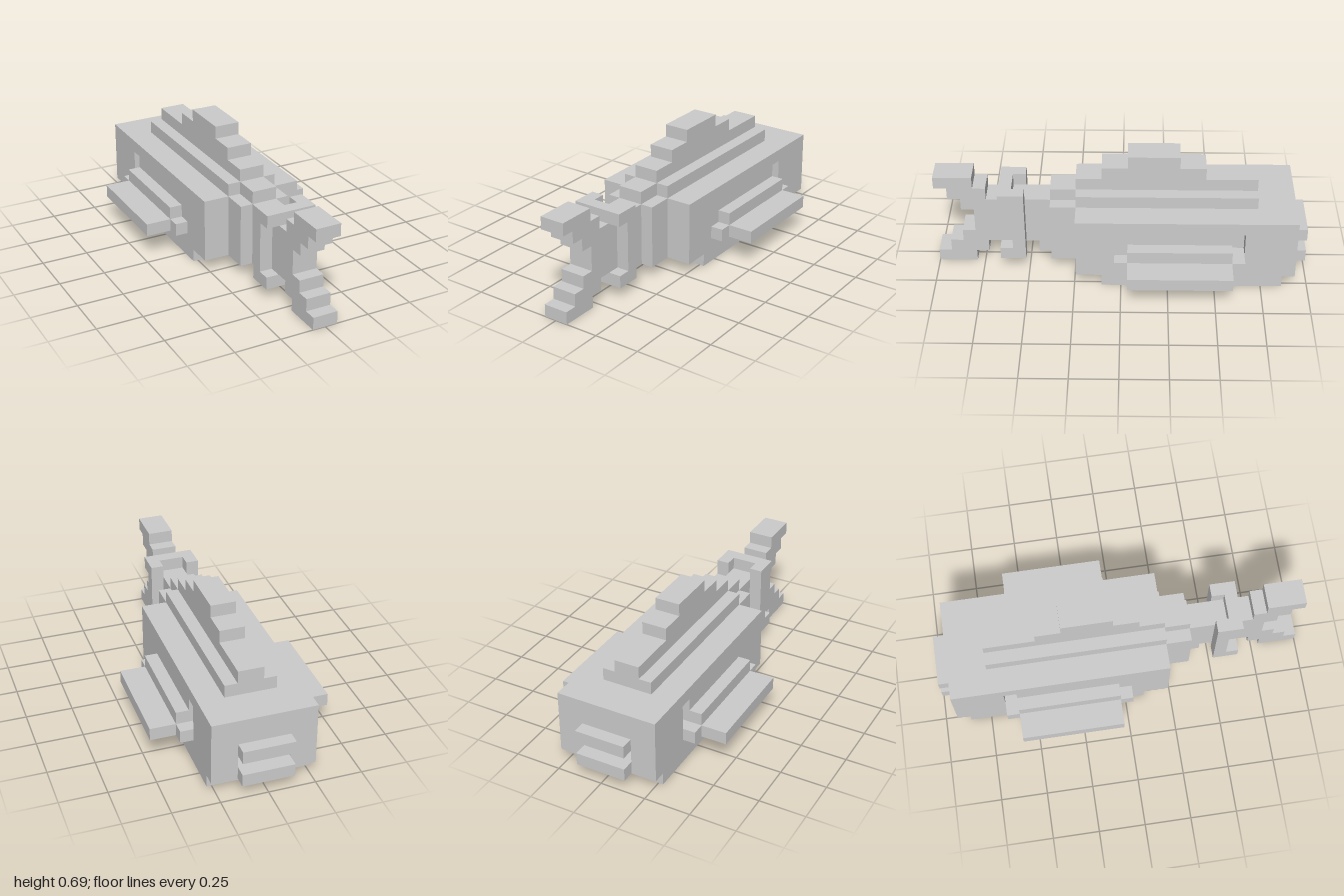
import * as THREE from 'three';

const U = 2 / 29; // one block; z is counted in blocks from the snout (0) to the tail tip (29)
const MID = 14.5;

export function createModel() {
  const model = new THREE.Group();
  const material = new THREE.MeshStandardMaterial({ color: 0xcccccc, flatShading: true });

  const part = (name) => {
    const group = new THREE.Group();
    group.name = name;
    model.add(group);
    return group;
  };

  const add = (group, geometry) => {
    geometry.scale(U, U, U);
    const mesh = new THREE.Mesh(geometry, material);
    mesh.name = group.name;
    group.add(mesh);
  };

  // Box between block coordinates
  const box = (group, x0, x1, y0, y1, z0, z1) => {
    const g = new THREE.BoxGeometry(x1 - x0, y1 - y0, z1 - z0);
    g.translate((x0 + x1) / 2, (y0 + y1) / 2, (z0 + z1) / 2 - MID);
    add(group, g);
  };

  // Box centred on x = 0
  const centred = (group, half, ...yz) => box(group, -half, half, ...yz);

  // The same box on both sides
  const pair = (group, x0, x1, ...yz) => {
    box(group, x0, x1, ...yz);
    box(group, -x1, -x0, ...yz);
  };

  // Side outline of [z, y] points, extruded across x from -1 to 1
  const slab = (group, points) => {
    const shape = new THREE.Shape(points.map(([z, y]) => new THREE.Vector2(z - MID, y)));
    const g = new THREE.ExtrudeGeometry(shape, { depth: 2, bevelEnabled: false });
    g.translate(0, 0, -1);
    g.rotateY(-Math.PI / 2);
    add(group, g);
  };

  // Body, with the mouth opening at the snout and a gill slit on each side
  const body = part('body');
  centred(body, 4, 1, 2, 1, 2);
  pair(body, 2, 4, 2, 3, 1, 2);
  centred(body, 4, 3, 6, 1, 2);
  centred(body, 4, 1, 6, 2, 5);
  centred(body, 3, 1, 6, 5, 6);
  pair(body, 3, 4, 1, 3, 5, 6);
  pair(body, 3, 4, 5, 6, 5, 6);
  centred(body, 4, 1, 6, 6, 18);

  const belly = part('belly');
  centred(belly, 4, 0, 1, 2, 16);

  const lips = part('lips');
  for (const y of [1, 3]) centred(lips, 2, y, y + 1, 0, 1);

  // Stepped fin along the back
  const backRidge = part('backRidge');
  centred(backRidge, 2, 6, 7, 4, 18);
  const dorsalFin = part('dorsalFin');
  slab(dorsalFin, [
    [4, 6], [20, 6], [20, 7], [18, 7], [18, 8], [16, 8], [16, 9], [14, 9],
    [14, 10], [10, 10], [10, 9], [8, 9], [8, 8], [4, 8],
  ]);

  // Side fins
  const sideFins = part('sideFins');
  pair(sideFins, 4, 5, 2, 3, 5, 15);
  pair(sideFins, 4, 5, 3, 4, 6, 14);
  pair(sideFins, 5, 7, 2, 3, 6, 14);

  // Narrowing tail root
  const tailRoot = part('tailRoot');
  centred(tailRoot, 2, 1, 6, 18, 20);
  centred(tailRoot, 1, 1, 2, 20, 21);

  // Forked tail, mirrored about y = 4
  const fork = [
    [20, 6], [25, 6], [25, 7], [26, 7], [26, 8], [29, 8], [29, 7],
    [28, 7], [28, 6], [27, 6], [27, 5], [26, 5],
  ];
  const tail = part('tailFin');
  slab(tail, [...fork.map(([z, y]) => [z, 8 - y]), ...fork.reverse()]);

  // Collar around the tail: a post on each side, joined by bars above and below
  const collar = part('tailCollar');
  pair(collar, 1, 2, 1, 7, 22, 23);
  for (const y of [1, 6]) centred(collar, 2, y, y + 1, 23, 24);

  return model;
}
